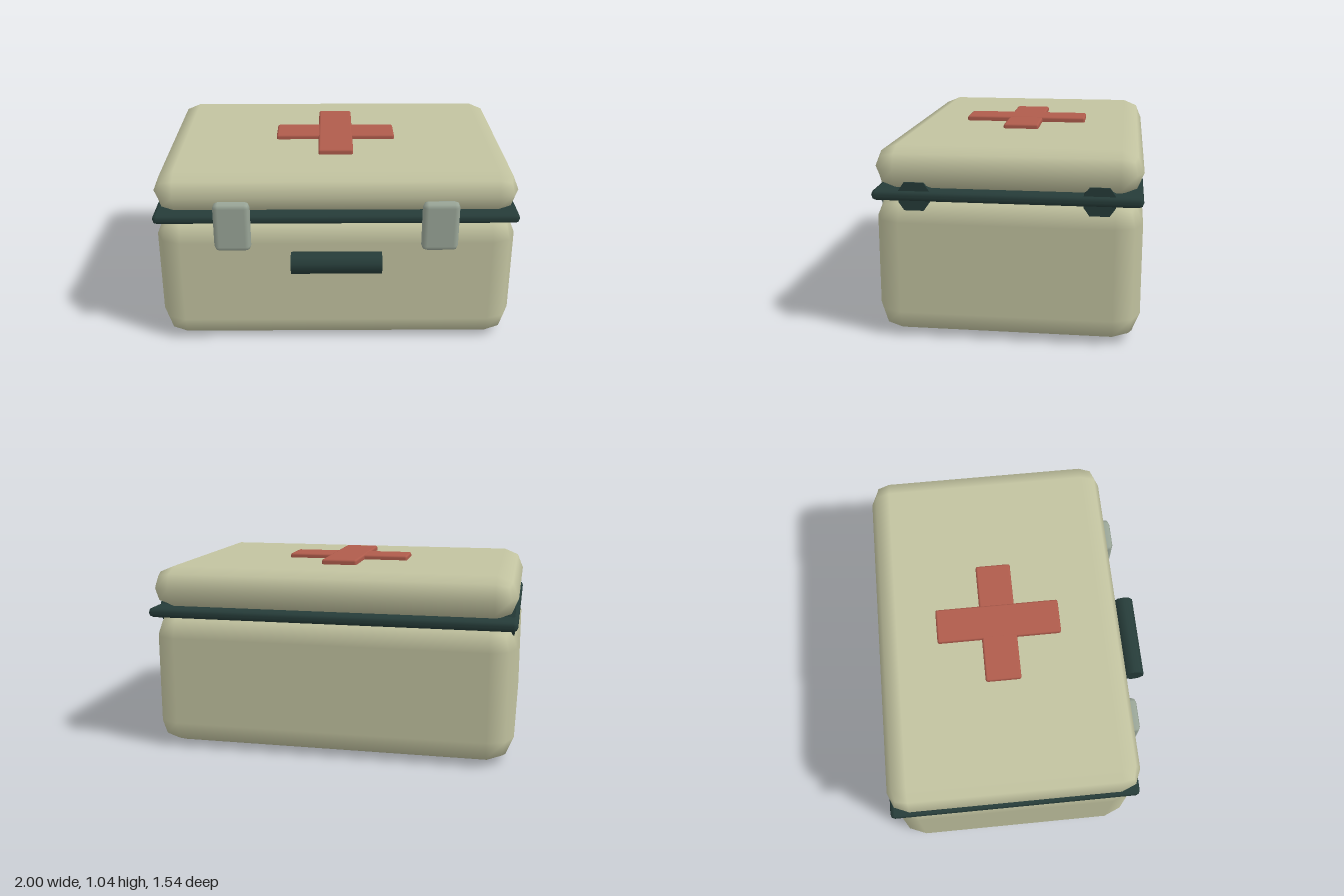
import * as THREE from 'three';
import { RoundedBoxGeometry } from 'three/addons/geometries/RoundedBoxGeometry.js';

const material = (color) => new THREE.MeshStandardMaterial({ color });

export function createModel() {
  const model = new THREE.Group();
  model.name = 'medicalCase';
  const shell = material(0xc2c3a0);
  const dark = material(0x263c39);
  const metal = material(0x9aa698);
  const red = material(0xb05c4c);
  const midZ = -0.078;

  const add = (name, geometry, mat, x, y, z) => {
    const mesh = new THREE.Mesh(geometry, mat);
    mesh.name = name;
    mesh.position.set(x, y, z);
    model.add(mesh);
    return mesh;
  };

  // Low-poly rounded box; its flat faces sit 0.0955 r inside the nominal size
  const rounded = (w, h, d, r) => {
    const grow = 0.191 * r;
    return new RoundedBoxGeometry(w + grow, h + grow, d + grow, 1, r);
  };

  // Main shell, lid and the seal between them
  add('body', rounded(1.97, 0.737, 1.355, 0.14), shell, 0, 0.3685, midZ);
  add('lid', rounded(1.97, 0.208, 1.355, 0.12), shell, 0, 0.881, midZ);
  add('sealTrim', rounded(1.995, 0.05, 1.375, 0.025), dark, 0, 0.75, midZ);

  // Raised cross on the lid
  add('crossBarAcross', rounded(0.69, 0.034, 0.195, 0.012), red, 0, 1.004, midZ - 0.004);
  add('crossBarAlong', rounded(0.195, 0.036, 0.69, 0.012), red, 0, 1.006, midZ - 0.004);

  // Side blocks with cut corners, set in the groove under the trim
  const outline = new THREE.Shape([
    [-0.08, -0.03], [-0.05, -0.073], [0.05, -0.073], [0.08, -0.03],
    [0.08, 0.03], [0.05, 0.073], [-0.05, 0.073], [-0.08, 0.03],
  ].map(([x, y]) => new THREE.Vector2(x, y)));
  const block = new THREE.ExtrudeGeometry(outline, { depth: 0.1, bevelEnabled: false });
  block.translate(0, 0, -0.05).rotateY(Math.PI / 2);

  for (const side of [-1, 1]) {
    const name = side > 0 ? 'left' : 'right';
    for (const [end, z] of [['Front', 0.39], ['Rear', -0.55]]) {
      add(`${name}${end}SideBlock`, block, dark, side * 0.93, 0.747, z);
    }
    // Front latches
    add(`${name}Latch`, rounded(0.195, 0.28, 0.062, 0.03), metal, side * 0.565, 0.72, 0.618);
  }

  // Ten-sided carrying grip
  const grip = new THREE.CylinderGeometry(0.06, 0.06, 0.49, 10);
  grip.rotateY(Math.PI / 2).rotateZ(Math.PI / 2);
  add('handle', grip, dark, 0, 0.546, 0.712);

  return model;
}
